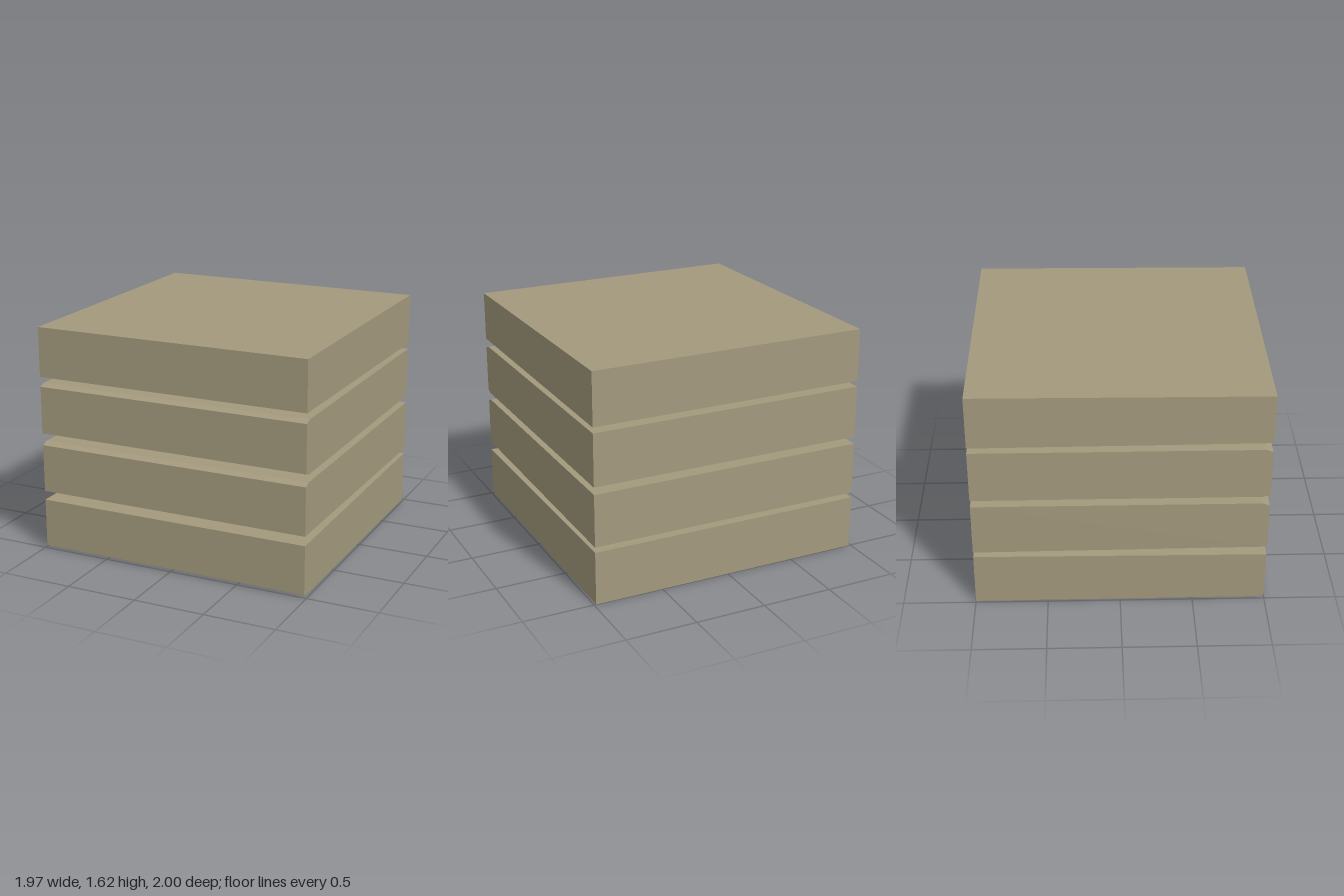
import * as THREE from 'three';

const WIDTH = 1.97;

// Side profiles of the slabs as [z, y], running from the bottom back to the top back
const SLABS = {
  bottomSlab: [[-1, 0], [0.955, 0.005], [1, 0.02], [1, 0.365], [-1, 0.377]],
  lowerMiddleSlab: [[-1, 0.415], [1, 0.43], [1, 0.768], [0.955, 0.787], [-1, 0.787]],
  upperMiddleSlab: [[-1, 0.838], [0.955, 0.84], [1, 0.855], [1, 1.19], [0.955, 1.208], [-1, 1.208]],
  topSlab: [[-1, 1.248], [1, 1.26], [1, 1.61], [-1, 1.62]],
};

// Sweep one profile across the full width
function slab(name, profile, material) {
  const shape = new THREE.Shape(profile.map(([z, y]) => new THREE.Vector2(-z, y)));
  const geometry = new THREE.ExtrudeGeometry(shape, { depth: WIDTH, bevelEnabled: false });
  geometry.translate(0, 0, -WIDTH / 2);
  geometry.rotateY(Math.PI / 2);
  const mesh = new THREE.Mesh(geometry, material);
  mesh.name = name;
  return mesh;
}

export function createModel() {
  const group = new THREE.Group();
  group.name = 'slabStack';
  const stone = new THREE.MeshStandardMaterial({ color: 0xa3997d });
  stone.name = 'sandstone';
  for (const [name, profile] of Object.entries(SLABS)) group.add(slab(name, profile, stone));
  return group;
}
